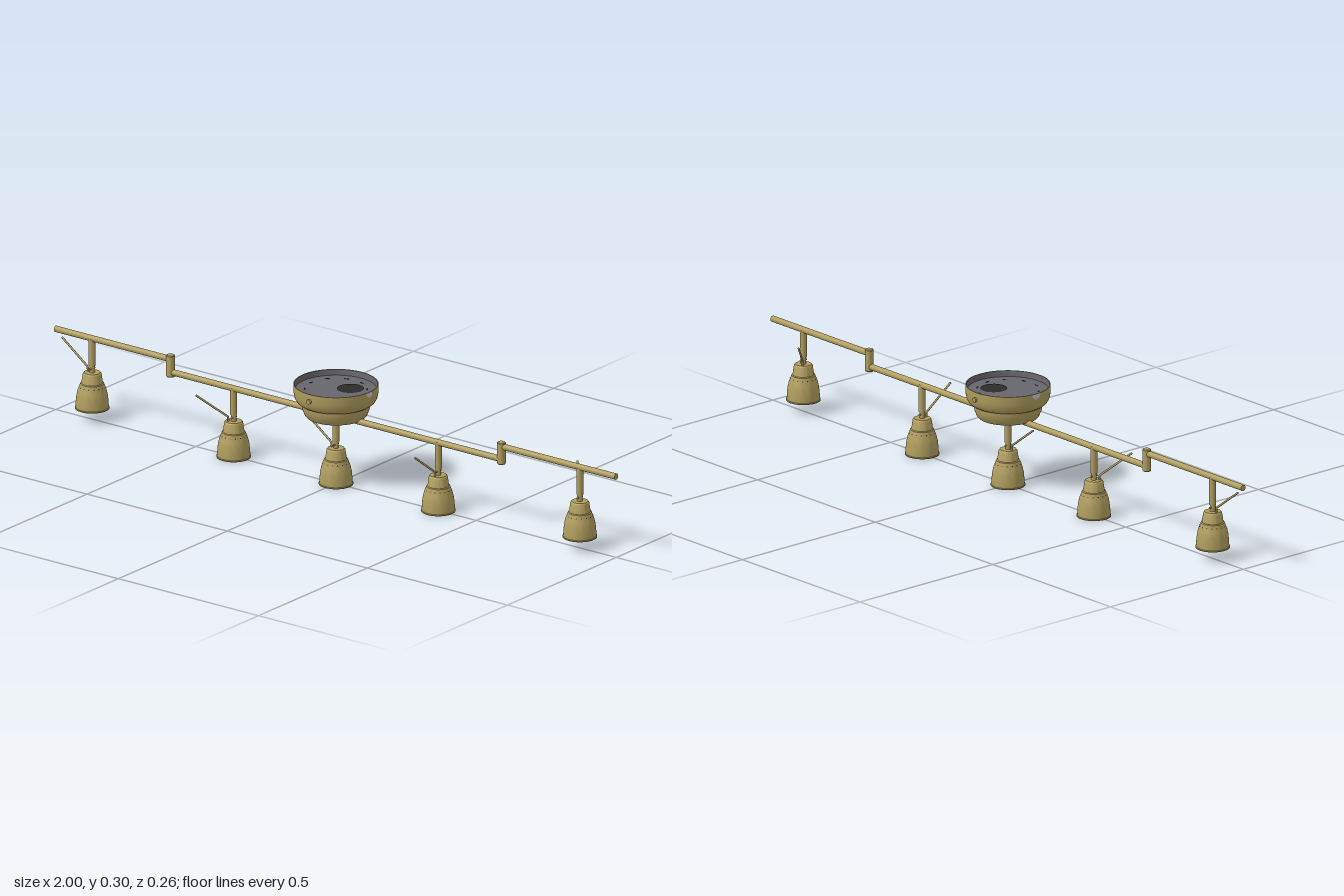
import * as THREE from 'three';
import { toCreasedNormals, mergeGeometries } from 'three/addons/utils/BufferGeometryUtils.js';

const material = (name, color) => new THREE.MeshStandardMaterial({ name, color });

export function createModel() {
  const brass = material('brass', 0xb09d5e);
  brass.side = THREE.DoubleSide;
  const grey = material('grey metal', 0x66666c);
  const dark = material('dark recess', 0x2c2c2e);
  const pale = material('pale metal', 0xc4c8d0);
  const model = new THREE.Group();
  model.name = 'trackLight';

  const add = (parent, name, geometry, mat, x = 0, y = 0, z = 0) => {
    const mesh = new THREE.Mesh(geometry, mat);
    mesh.name = name;
    mesh.position.set(x, y, z);
    parent.add(mesh);
    return mesh;
  };
  const lathe = (points, segments = 40) => toCreasedNormals(
    new THREE.LatheGeometry(points.map(([r, y]) => new THREE.Vector2(r, y)), segments), 0.5);

  // Ceiling canopy: two rounded tiers with a hollow top
  add(model, 'canopy', lathe([
    [0, 0.204], [0.084, 0.204], [0.089, 0.21], [0.095, 0.225], [0.098, 0.238], [0.098, 0.245],
    [0.104, 0.245], [0.111, 0.25], [0.117, 0.261], [0.12, 0.276], [0.12, 0.3], [0.117, 0.3],
  ], 56), brass);
  add(model, 'canopyInterior', lathe([[0.117, 0.3], [0.115, 0.283], [0, 0.283]], 56), grey);
  const patch = add(model, 'wiringOpening', new THREE.CircleGeometry(0.038, 24), dark, 0.032, 0.285, -0.025);
  patch.rotation.x = -Math.PI / 2;
  for (let i = 0; i < 10; i++) {
    const a = (i / 10) * Math.PI * 2;
    const slot = add(model, 'mountingSlot', new THREE.BoxGeometry(0.012, 0.001, 0.004), dark,
      0.088 * Math.cos(a), 0.2838, 0.088 * Math.sin(a));
    slot.rotation.y = -a - Math.PI / 2;
  }

  // Thumb screws front and back, half-round cable inlets on the sides
  for (const s of [-1, 1]) {
    const screw = add(model, 'thumbScrew', new THREE.CylinderGeometry(0.004, 0.004, 0.012, 16), brass, 0, 0.28, s * 0.12);
    screw.rotation.x = Math.PI / 2;
    const head = add(model, 'thumbScrewHead', new THREE.CylinderGeometry(0.007, 0.007, 0.006, 16), brass, 0, 0.28, s * 0.125);
    head.rotation.x = Math.PI / 2;
    const inlet = add(model, 'cableInlet', new THREE.CircleGeometry(0.015, 20, Math.PI, Math.PI), pale, s * 0.1208, 0.2995, 0);
    inlet.rotation.y = s * Math.PI / 2;
  }

  // Rails: a long middle rail and two raised end rails
  const rail = (name, x0, x1, y) => {
    const mesh = add(model, name, new THREE.CylinderGeometry(0.009, 0.009, x1 - x0, 20), brass, (x0 + x1) / 2, y, 0);
    mesh.rotation.z = Math.PI / 2;
  };
  rail('middleRail', -0.59, 0.59, 0.204);
  rail('leftRail', 0.59, 1, 0.242);
  rail('rightRail', -1, -0.59, 0.242);
  for (const s of [-1, 1]) {
    add(model, 'swivelJoint', lathe([
      [0, 0.19], [0.011, 0.19], [0.0125, 0.192], [0.0125, 0.253], [0.011, 0.255], [0, 0.255],
    ], 24), brass, s * 0.59);
  }

  // Shared lamp geometry, with the base of the shade at y = 0
  const shade = lathe([
    [0, 0.101], [0.022, 0.101], [0.027, 0.074], [0.036, 0.058], [0.041, 0.04], [0.0435, 0.02], [0.0455, 0],
    [0.049, 0], [0.049, 0.003], [0.047, 0.004], [0.0465, 0.018], [0.0445, 0.038], [0.041, 0.054],
    [0.0335, 0.074], [0.0305, 0.076], [0.0265, 0.103], [0.0235, 0.107], [0, 0.107],
  ]);
  const holes = [];
  for (let i = 0; i < 16; i++) {
    holes.push(new THREE.CircleGeometry(0.0019, 8).rotateX(-0.42)
      .translate(0, 0.0655, 0.0378).rotateY((i / 16) * Math.PI * 2));
  }
  const ventHoles = mergeGeometries(holes);
  const leverPath = new THREE.CurvePath();
  const leverPoints = [[0.015, 0.104], [0.016, 0.12], [0.106, 0.187]].map(([x, y]) => new THREE.Vector3(x, y, 0));
  leverPath.add(new THREE.LineCurve3(leverPoints[0], leverPoints[1]));
  leverPath.add(new THREE.LineCurve3(leverPoints[1], leverPoints[2]));
  const lever = new THREE.TubeGeometry(leverPath, 24, 0.003, 8);
  const leverTip = new THREE.SphereGeometry(0.003, 8, 6);

  // Lamps: position along the rail, base height, heading of the aiming lever
  const lamps = [
    [-0.87, 0.034, Math.PI], [-0.365, 0, Math.PI * 1.25], [0, 0, Math.PI],
    [0.365, 0, -Math.PI / 2], [0.87, 0.034, Math.PI * 0.73],
  ];
  for (const [x, y, heading] of lamps) {
    const lamp = new THREE.Group();
    lamp.name = 'lamp';
    lamp.position.set(x, y, 0);
    model.add(lamp);
    add(lamp, 'shade', shade, brass);
    add(lamp, 'ventHoles', ventHoles, dark);
    add(lamp, 'stem', new THREE.CylinderGeometry(0.01, 0.01, 0.08, 20), brass, 0, 0.167, 0);
    add(lamp, 'stemNeck', new THREE.CylinderGeometry(0.0075, 0.0075, 0.03, 16), brass, 0, 0.118, 0);
    const pin = add(lamp, 'hingePin', new THREE.CylinderGeometry(0.003, 0.003, 0.022, 10), brass, 0, 0.118, 0);
    pin.rotation.x = Math.PI / 2;
    const arm = new THREE.Group();
    arm.name = 'aimingLever';
    arm.rotation.y = heading;
    lamp.add(arm);
    add(arm, 'leverRod', lever, brass);
    add(arm, 'leverTip', leverTip, brass, 0.106, 0.187, 0);
  }
  return model;
}
